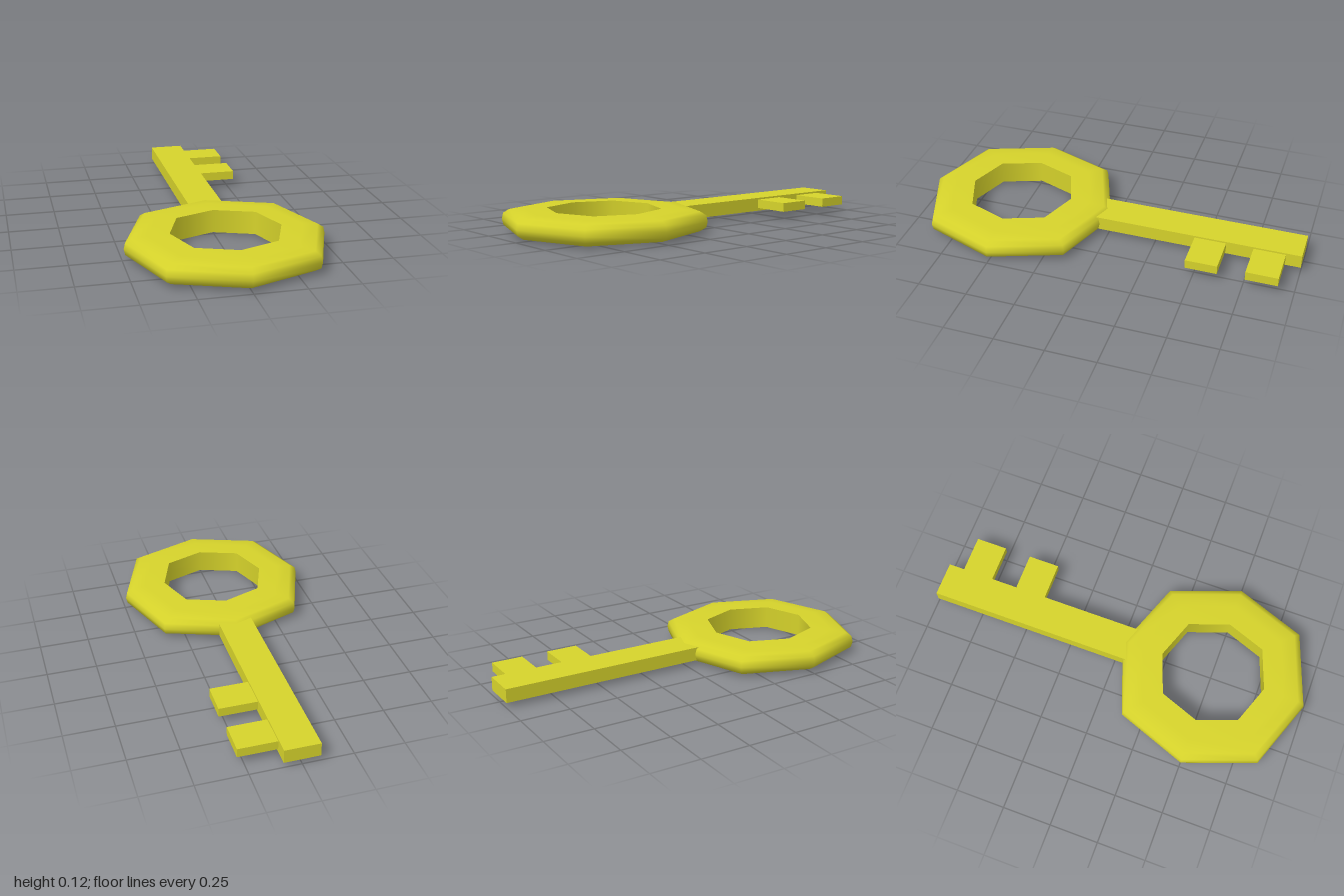
import * as THREE from 'three';

const material = new THREE.MeshStandardMaterial({ color: 0xd6d32b });

// Eight-sided lathe whose diagonal corners sit slightly further out
function octagonLathe(profile) {
  const geo = new THREE.LatheGeometry(profile.map(([r, y]) => new THREE.Vector2(r, y)), 8);
  const p = geo.attributes.position;
  for (let i = 0; i < p.count; i++) {
    const x = p.getX(i), z = p.getZ(i);
    const k = 1 + 0.036 * Math.abs(Math.sin(2 * Math.atan2(z, x)));
    p.setX(i, x * k);
    p.setZ(i, z * k);
  }
  return geo;
}

function addMesh(parent, name, geo, x, y, z) {
  const mesh = new THREE.Mesh(geo, material);
  mesh.name = name;
  mesh.position.set(x, y, z);
  parent.add(mesh);
}

export function createModel() {
  const key = new THREE.Group();
  key.name = 'key';

  // Bow: rounded outer shell and a straight inner wall
  const bow = new THREE.Group();
  bow.name = 'bow';
  bow.position.z = 0.503;
  key.add(bow);
  const half = [[0.273, 0.059], [0.38, 0.056], [0.455, 0.049], [0.485, 0.03]];
  const lower = half.map(([r, h]) => [r, 0.059 - h]);
  const upper = half.map(([r, h]) => [r, 0.059 + h]).reverse();
  addMesh(bow, 'bowShell', octagonLathe([...lower, [0.492, 0.059], ...upper]), 0, 0, 0);
  addMesh(bow, 'bowInnerWall', octagonLathe([[0.273, 0.118], [0.273, 0]]), 0, 0, 0);

  // Shaft, with its front end sunk into the bow
  addMesh(key, 'shaft', new THREE.BoxGeometry(0.177, 0.07, 1.12), 0, 0.062, -0.44);

  // Two teeth on the left side of the shaft
  for (const z of [-0.84, -0.54])
    addMesh(key, 'tooth', new THREE.BoxGeometry(0.21, 0.046, 0.162), 0.177, 0.065, z);

  return key;
}
